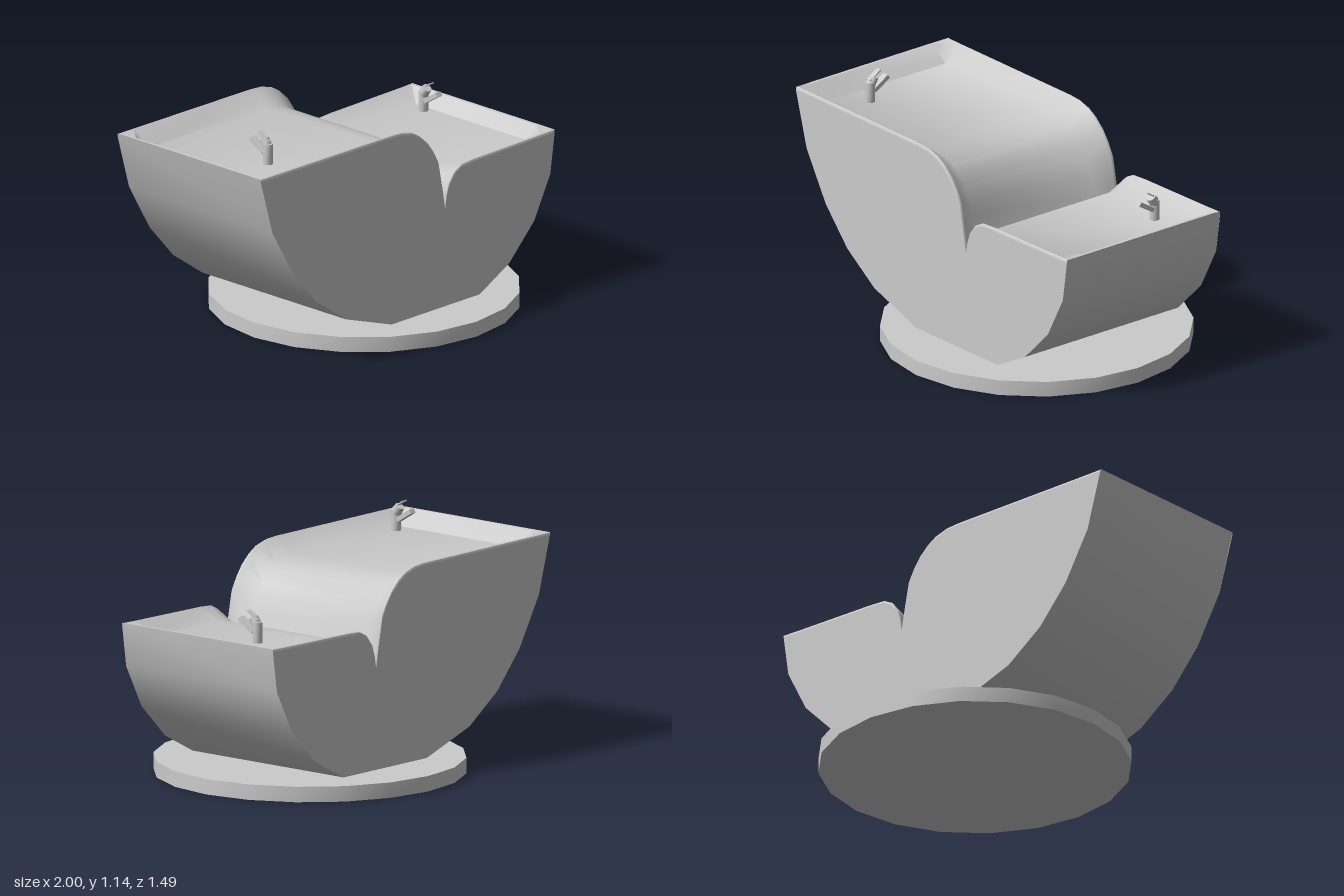
import * as THREE from 'three';
import { toCreasedNormals } from 'three/addons/utils/BufferGeometryUtils.js';

const HALF = 0.475;   // half depth of the body
const Z0 = 0.01;      // body centre in z

// Skin a surface over rows of [x, y, z] points
function loft(rows, crease = 0.6) {
  const n = rows[0].length, index = [];
  for (let i = 0; i < rows.length - 1; i++) {
    for (let j = 0; j < n - 1; j++) {
      const a = i * n + j, b = a + n;
      index.push(a, b, b + 1, a, b + 1, a + 1);
    }
  }
  const g = new THREE.BufferGeometry();
  g.setAttribute('position', new THREE.Float32BufferAttribute(rows.flat(2), 3));
  g.setIndex(index);
  return toCreasedNormals(g, crease);
}

export function createModel() {
  const model = new THREE.Group();
  const mat = new THREE.MeshStandardMaterial({ color: 0xcccccc, side: THREE.DoubleSide });
  const add = (parent, geo, name) => {
    const m = new THREE.Mesh(geo, mat);
    m.name = name;
    parent.add(m);
    return m;
  };

  // Round pedestal
  const base = add(model, toCreasedNormals(new THREE.CylinderGeometry(0.746, 0.746, 0.075, 20), 0.6), 'pedestal');
  base.position.set(0.2, 0.0375, 0);

  // Stations along the top: rim x, rim y, basin x, basin y
  const stations = [
    [-1, 1.03, -1, 1.03], [-0.99, 1.03, -0.985, 1.03], [-0.9, 1.029, -0.9, 0.957],
    [-0.1, 1.025, -0.1, 0.957], [-0.03, 1.02, -0.04, 0.95], [0.04, 1.0, 0.025, 0.93],
    [0.09, 0.97, 0.07, 0.9], [0.14, 0.925, 0.115, 0.85], [0.18, 0.87, 0.15, 0.79],
    [0.21, 0.815, 0.185, 0.72], [0.235, 0.69, 0.22, 0.63], [0.255, 0.58, 0.255, 0.565],
    [0.265, 0.64, 0.27, 0.61], [0.28, 0.685, 0.29, 0.66], [0.32, 0.737, 0.33, 0.69],
    [0.37, 0.762, 0.38, 0.705], [0.45, 0.767, 0.45, 0.708], [0.92, 0.773, 0.92, 0.715],
    [0.988, 0.775, 0.985, 0.775], [1, 0.775, 1, 0.775],
  ];
  // Underside, from the low end round to the high end
  const under = [
    [1, 0.775], [0.97, 0.56], [0.86, 0.35], [0.69, 0.18], [0.48, 0.07], [0.2, 0.02],
    [-0.11, 0.075], [-0.42, 0.18], [-0.62, 0.32], [-0.78, 0.5], [-0.92, 0.74], [-1, 1.03],
  ];

  const body = new THREE.Group();
  body.name = 'basinBody';
  body.position.z = Z0;
  model.add(body);

  // Rounded rim, sloping sides and sunken floors of both basins
  const rows = stations.map(([rx, ry, fx, fy]) => {
    const half = [
      [rx, ry - 0.012, HALF], [rx, ry - 0.003, HALF - 0.003], [rx, ry, HALF - 0.01],
      [rx, ry - 0.003, HALF - 0.016], [fx, fy, 0.367],
    ];
    return [...half, ...half.map(([x, y, z]) => [x, y, -z]).reverse()];
  });
  add(body, loft(rows, 0.7), 'basins');

  // Curved underside
  add(body, loft(under.map(([x, y]) => [[x, y, HALF], [x, y, -HALF]])), 'underside');

  // Flat side walls
  const outline = [...stations.map(([x, y]) => [x, y - 0.012]), ...under.slice(1, -1)];
  const wall = new THREE.ShapeGeometry(new THREE.Shape(outline.map(([x, y]) => new THREE.Vector2(x, y))));
  const back = wall.clone();
  back.index.array.reverse();
  back.attributes.normal.array.forEach((v, i, a) => { a[i] = -v; });
  add(body, wall, 'frontWall').position.z = HALF;
  add(body, back, 'backWall').position.z = -HALF;

  // Taps, with the spout pointing to local -z
  const tap = (name, x, y, z, turn) => {
    const g = new THREE.Group();
    g.name = name;
    g.position.set(x, y, z);
    g.rotation.y = turn;
    const tube = (h) => toCreasedNormals(new THREE.CylinderGeometry(0.024, 0.024, h, 12), 0.6);
    add(g, tube(0.1), 'tapStem').position.y = 0.05;
    const head = add(g, tube(0.045), 'tapHead');
    head.position.set(0, 0.1, -0.012);
    head.rotation.x = -0.55;
    const lever = add(g, new THREE.BoxGeometry(0.028, 0.006, 0.075), 'tapLever');
    lever.position.set(0, 0.13, -0.023);
    lever.rotation.x = 0.55;
    const spout = add(g, new THREE.BoxGeometry(0.034, 0.022, 0.1), 'tapSpout');
    spout.position.set(0, 0.08, -0.06);
    spout.rotation.x = 0.55;
    model.add(g);
  };
  tap('upperTap', -0.72, 0.985, 0.26, 0);
  tap('lowerTap', 0.82, 0.745, -0.21, Math.PI);

  return model;
}
